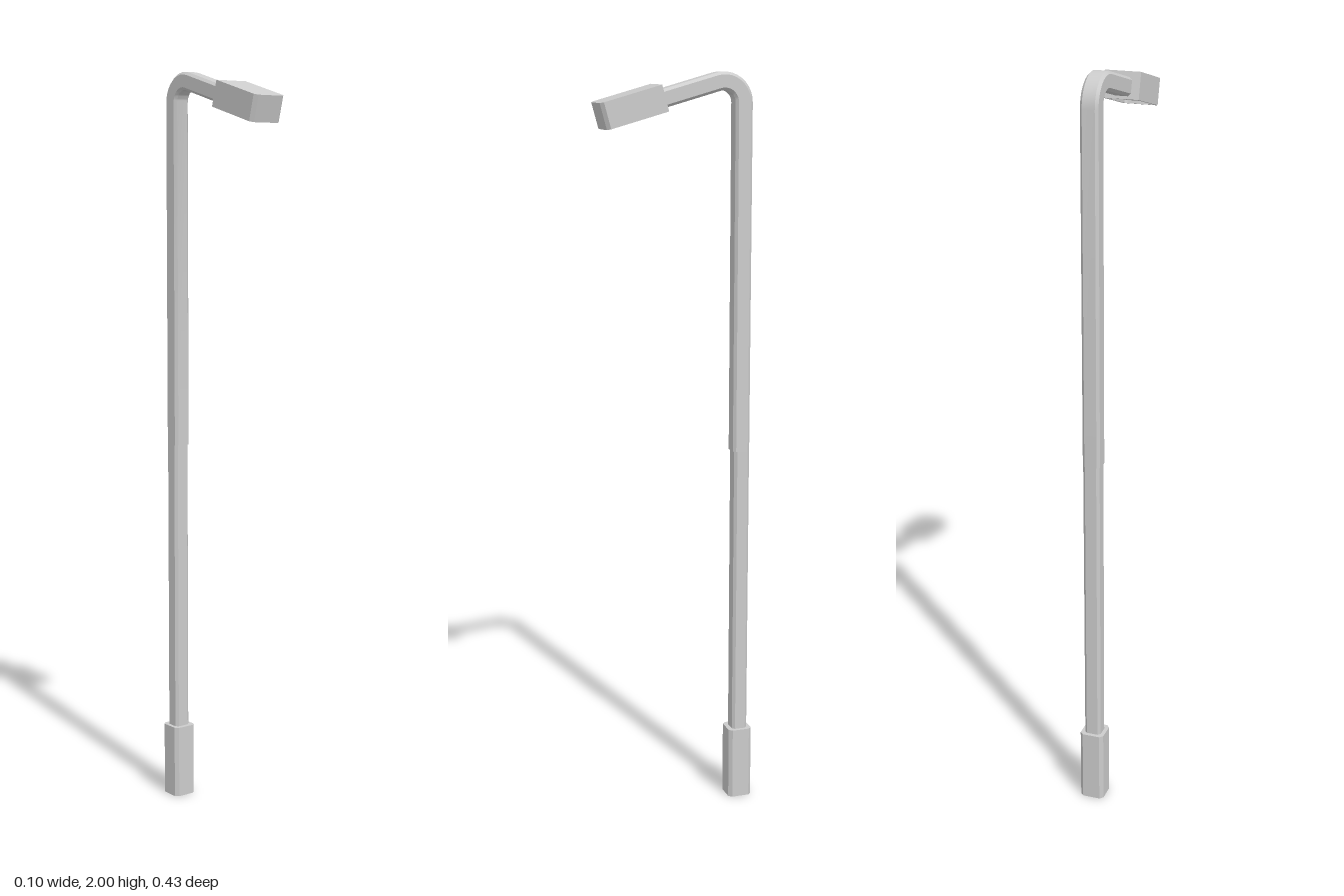
import * as THREE from 'three';
import { toCreasedNormals } from 'three/addons/utils/BufferGeometryUtils.js';

const material = new THREE.MeshStandardMaterial({ color: 0xcccccc, side: THREE.DoubleSide });
const POLE_X = -0.003;
const POLE_Z = -0.181;
const TILT = THREE.MathUtils.degToRad(15.4);

// Rectangle outline with cut corners, counter-clockwise
function chamferedRect(hw, hd, c) {
  return [
    [hw, -hd + c], [hw, hd - c], [hw - c, hd], [-hw + c, hd],
    [-hw, hd - c], [-hw, -hd + c], [-hw + c, -hd], [hw - c, -hd],
  ];
}

// Sweeps an outline along stations { y, z, a }, where a is the lean from
// vertical towards +z; ends are closed on request
function sweep(outline, stations, capStart, capEnd) {
  const n = outline.length;
  const pos = [];
  const idx = [];
  for (const { y, z, a } of stations) {
    for (const [u, v] of outline) {
      pos.push(u, y - v * Math.sin(a), z + v * Math.cos(a));
    }
  }
  for (let s = 0; s < stations.length - 1; s++) {
    for (let i = 0; i < n; i++) {
      const a = s * n + i;
      const b = s * n + (i + 1) % n;
      idx.push(a, a + n, b, b, a + n, b + n);
    }
  }
  const last = (stations.length - 1) * n;
  for (let i = 1; i < n - 1; i++) {
    if (capStart) idx.push(0, i, i + 1);
    if (capEnd) idx.push(last, last + i + 1, last + i);
  }
  const geo = new THREE.BufferGeometry();
  geo.setAttribute('position', new THREE.Float32BufferAttribute(pos, 3));
  geo.setIndex(idx);
  return toCreasedNormals(geo, 0.5);
}

function addMesh(parent, name, geo) {
  const mesh = new THREE.Mesh(geo, material);
  mesh.name = name;
  parent.add(mesh);
  return mesh;
}

const upright = (y0, y1, z) => [{ y: y0, z, a: 0 }, { y: y1, z, a: 0 }];

// Upper pole, rounded bend and arm as one path
function armStations() {
  const r = 0.055;
  const cornerY = 1.994;
  const turn = Math.PI / 2 + TILT;
  const cy = cornerY - r * Math.tan(turn / 2);
  const cz = POLE_Z + r;
  const stations = [{ y: 1.0, z: POLE_Z, a: 0 }];
  const steps = 10;
  for (let i = 0; i <= steps; i++) {
    const a = turn * i / steps;
    stations.push({ y: cy + r * Math.sin(a), z: cz - r * Math.cos(a), a });
  }
  const endZ = 0.06;
  stations.push({ y: cornerY - (endZ - POLE_Z) * Math.tan(TILT), z: endZ, a: turn });
  return stations;
}

// Lamp plan: front corners cut, back corners square (shape y points forward)
function lampPlan() {
  const w = 0.0478, l = 0.0835, c = 0.009;
  return new THREE.Shape([
    [-w, -l], [w, -l], [w, l - c], [w - c, l], [-w + c, l], [-w, l - c],
  ].map(([x, y]) => new THREE.Vector2(x, y)));
}

function lampPart(shape, height, top) {
  const geo = new THREE.ExtrudeGeometry(shape, { depth: height, bevelEnabled: false });
  geo.rotateX(Math.PI / 2); // shape y becomes +z, extrusion runs downward
  geo.translate(0, top, 0);
  return geo;
}

export function createModel() {
  const model = new THREE.Group();
  model.name = 'streetLamp';

  // Pole with its sleeve, open underneath
  const pole = new THREE.Group();
  pole.name = 'pole';
  pole.position.x = POLE_X;
  model.add(pole);
  addMesh(pole, 'baseSleeve',
    sweep(chamferedRect(0.033, 0.033, 0.009), upright(0, 0.2, -0.182), false, true));
  addMesh(pole, 'lowerPole',
    sweep(chamferedRect(0.0225, 0.0215, 0.007), upright(0.19, 1.0, -0.183), true, false));
  addMesh(pole, 'upperPoleAndArm',
    sweep(chamferedRect(0.0235, 0.0235, 0.007), armStations(), true, true));

  // Tilted lamp head with a shallow recess underneath
  const head = new THREE.Group();
  head.name = 'lampHead';
  head.position.set(-0.0005, 1.914, 0.123);
  head.rotation.x = TILT;
  model.add(head);
  const half = 0.0345;
  const rim = 0.008;
  addMesh(head, 'lampHousing', lampPart(lampPlan(), 2 * half - rim, half));
  const rimShape = lampPlan();
  const opening = chamferedRect(0.041, 0.076, 0.006).map(([x, y]) => new THREE.Vector2(x, y));
  rimShape.holes.push(new THREE.Path(opening.reverse()));
  addMesh(head, 'lampRim', lampPart(rimShape, rim, -half + rim));

  return model;
}
